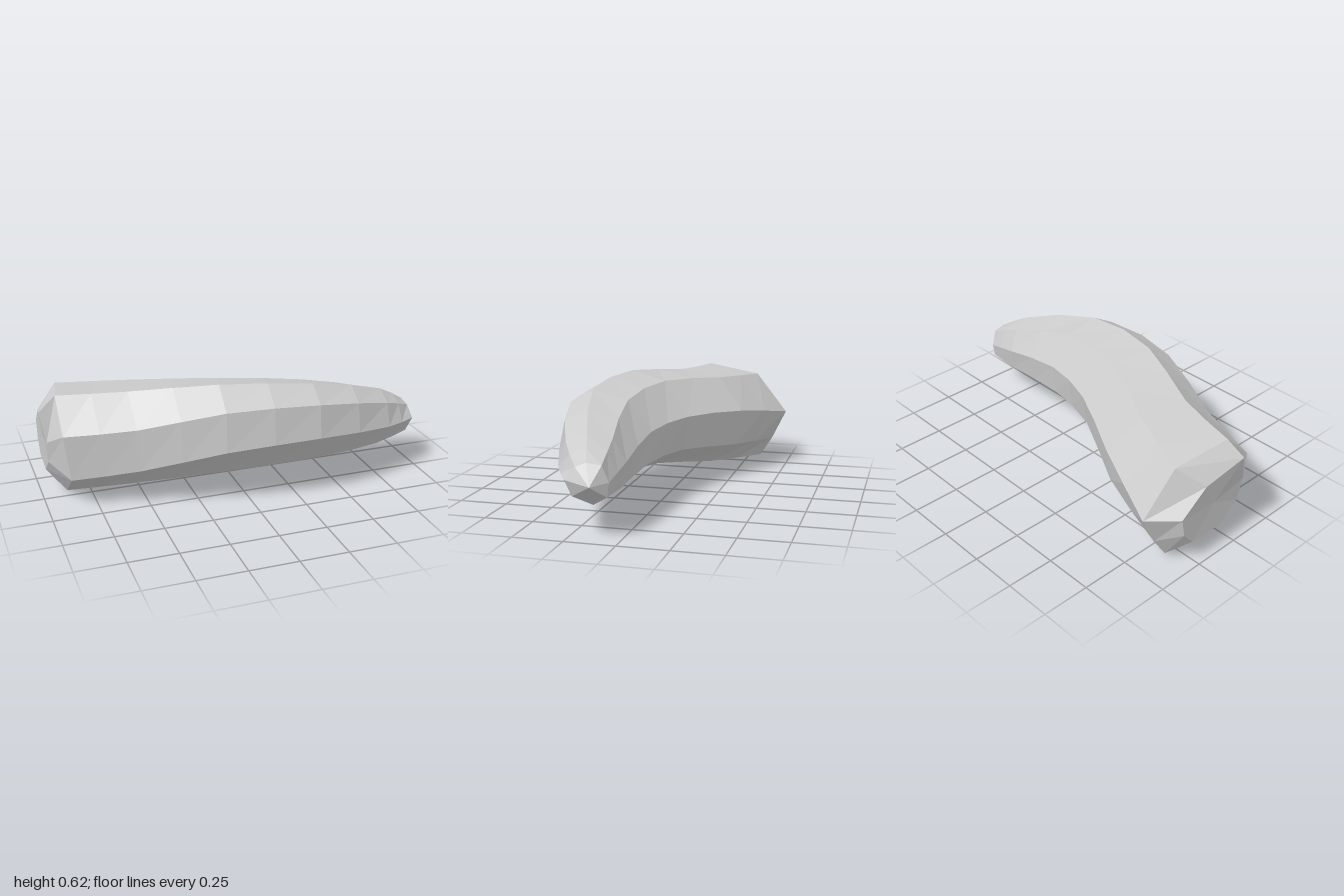
import * as THREE from 'three';

// Eight long ridges, listed around the body (top, back, bottom, front),
// each running from the blunt end (-x) to the tip (+x).
const RIDGES = [
  [[-.91, .56, 0], [-.56, .57, .09], [-.14, .617, .265], [.34, .585, .325], [.79, .455, .2], [.95, .36, .15]],
  [[-.86, .515, -.3], [-.5, .54, -.15], [-.08, .575, .065], [.35, .54, .14], [.75, .43, .09], [.94, .35, .08]],
  [[-.84, .295, -.48], [-.4, .37, -.29], [0, .4, -.08], [.35, .385, .02], [.73, .32, .03], [.93, .27, .05]],
  [[-.84, .13, -.4], [-.4, .175, -.26], [0, .22, -.05], [.35, .22, .035], [.75, .2, .05], [.93, .2, .06]],
  [[-.85, .02, -.33], [-.45, .055, -.1], [-.05, .125, .1], [.35, .145, .17], [.73, .135, .16], [.86, .14, .15]],
  [[-.87, 0, -.06], [-.55, .04, .05], [-.15, .125, .24], [.33, .18, .35], [.75, .17, .27], [.95, .2, .22]],
  [[-.88, .16, .16], [-.55, .21, .27], [-.15, .315, .425], [.33, .345, .475], [.78, .295, .35], [.97, .28, .25]],
  [[-.91, .4, .16], [-.56, .43, .265], [-.15, .52, .41], [.33, .515, .45], [.78, .415, .31], [.96, .34, .2]],
];

// Smaller ring that bevels the blunt end
const BUTT_RING = [
  [-1, .49, .02], [-.97, .42, -.2], [-.965, .3, -.35], [-.965, .2, -.33],
  [-.965, .13, -.27], [-.97, .13, -.08], [-.97, .22, .03], [-.975, .34, .06],
];
const BUTT_CENTRE = [-.965, .29, -.13];
const TIP = [1, .26, .12];
const STEPS = 10;

function bodyGeometry() {
  const sides = RIDGES.length;
  const curves = RIDGES.map((r) => new THREE.CatmullRomCurve3(r.map((p) => new THREE.Vector3(...p))));
  const rings = [BUTT_RING];
  for (let i = 0; i <= STEPS; i++) rings.push(curves.map((c) => c.getPoint(i / STEPS).toArray()));

  const positions = [];
  const tri = (a, b, c) => positions.push(...a, ...b, ...c);
  const last = rings[rings.length - 1];
  for (let j = 0; j < sides; j++) {
    const k = (j + 1) % sides;
    // skin between neighbouring cross-sections
    for (let i = 0; i < rings.length - 1; i++) {
      const near = rings[i], far = rings[i + 1];
      tri(near[j], far[j], far[k]);
      tri(near[j], far[k], near[k]);
    }
    // closing fans at the blunt end and the tip
    tri(BUTT_CENTRE, BUTT_RING[j], BUTT_RING[k]);
    tri(TIP, last[k], last[j]);
  }
  const geometry = new THREE.BufferGeometry();
  geometry.setAttribute('position', new THREE.Float32BufferAttribute(positions, 3));
  geometry.computeVertexNormals();
  return geometry;
}

export function createModel() {
  const group = new THREE.Group();
  const material = new THREE.MeshStandardMaterial({ color: 0xcccccc, flatShading: true });
  const body = new THREE.Mesh(bodyGeometry(), material);
  body.name = 'curvedBody';
  group.add(body);
  return group;
}
